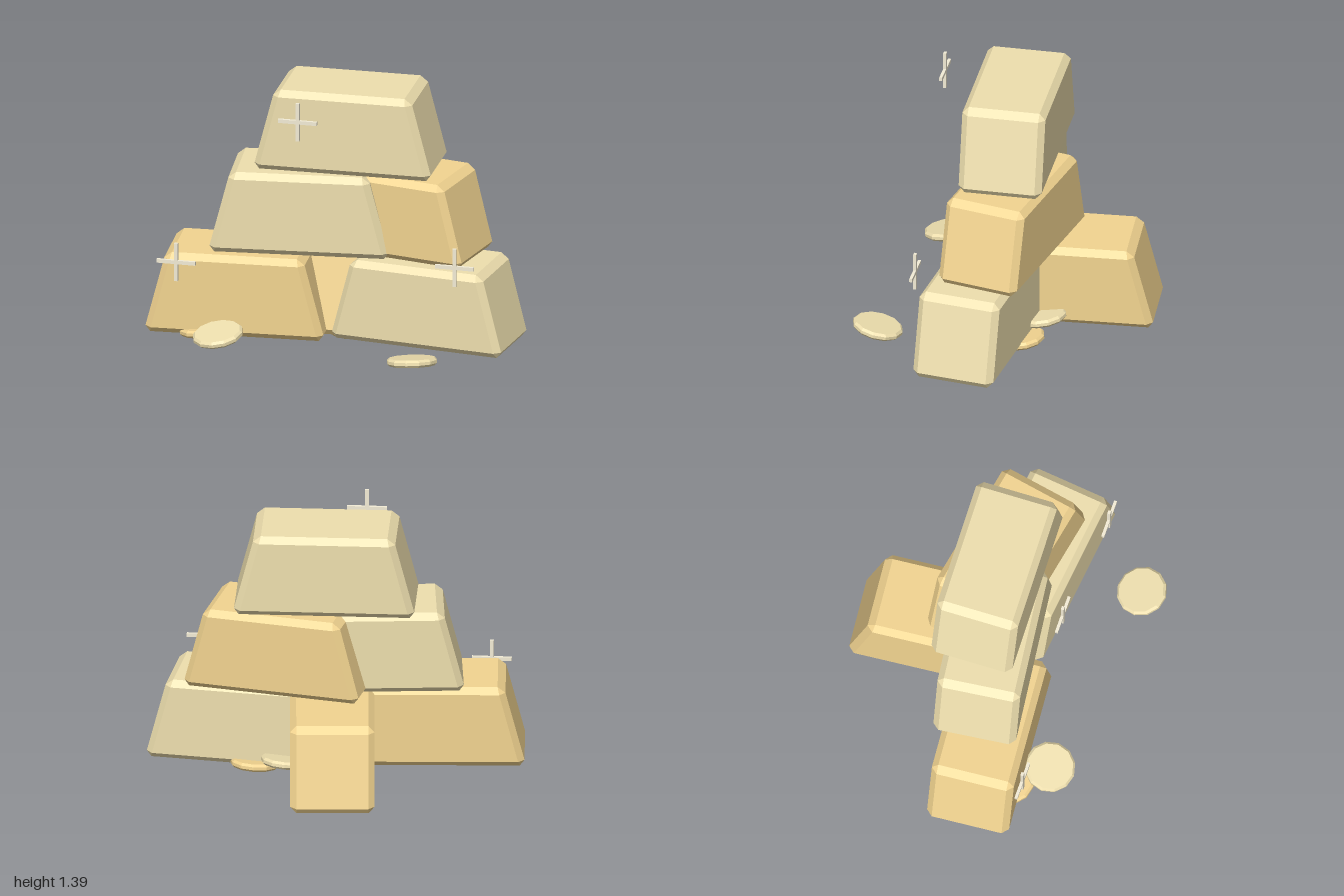
import * as THREE from 'three';
import { ConvexGeometry } from 'three/addons/geometries/ConvexGeometry.js';

const PALE = 0xeedfae, GOLD = 0xf2d490, SPARK = 0xf3ecd6;

function material(color) {
  return new THREE.MeshStandardMaterial({ color, flatShading: true });
}

// Chamfered block whose two ends lean inwards towards the top; base at y = 0
function barGeometry(halfBottom, halfTop, height, depth, c) {
  const points = [];
  for (const sx of [-1, 1]) for (const sy of [0, 1]) for (const sz of [-1, 1]) {
    for (const [ix, iy, iz] of [[0, c, c], [c, 0, c], [c, c, 0]]) {
      const y = sy ? height - iy : iy;
      const half = THREE.MathUtils.lerp(halfBottom, halfTop, y / height);
      points.push(new THREE.Vector3(sx * (half - ix), y, sz * (depth / 2 - iz)));
    }
  }
  return new ConvexGeometry(points);
}

// Twelve-sided coin with bevelled rims, centred on the origin
function coinGeometry(radius, thickness, bevel) {
  const h = thickness / 2;
  const profile = [[0, -h], [radius - bevel, -h], [radius, -h + bevel],
    [radius, h - bevel], [radius - bevel, h], [0, h]];
  return new THREE.LatheGeometry(profile.map(([x, y]) => new THREE.Vector2(x, y)), 12);
}

export function createModel() {
  const model = new THREE.Group();
  model.name = 'ingotPile';
  const pale = material(PALE), gold = material(GOLD), spark = material(SPARK);

  const add = (name, geometry, mat, position, rotation) => {
    const mesh = new THREE.Mesh(geometry, mat);
    mesh.name = name;
    mesh.position.set(...position);
    mesh.rotation.set(...rotation);
    model.add(mesh);
  };

  // Ingots: three on the ground, two across them, one on top
  const bar = barGeometry(0.484, 0.367, 0.45, 0.446, 0.033);
  const bars = [
    ['bottomRightIngot', gold, [-0.505, 0.03, 0.135], 0.075],
    ['bottomLeftIngot', pale, [0.505, 0.03, 0.078], -0.112],
    ['bottomBackIngot', gold, [0, 0.03, -0.28], Math.PI / 2 + 0.085],
    ['middleRightIngot', pale, [-0.185, 0.48, 0.045], 0.115],
    ['middleLeftIngot', gold, [0.29, 0.48, -0.04], -0.19],
    ['topIngot', pale, [0.055, 0.93, -0.012], 0.026],
  ];
  for (const [name, mat, position, turn] of bars) add(name, bar, mat, position, [0, turn, 0]);

  // Loose coins, each tilted a little
  const coin = coinGeometry(0.135, 0.04, 0.012);
  const coins = [
    [pale, [-0.54, 0.09, 0.485], [0.17, 0, 0.13]],
    [pale, [0.55, 0.085, 0.625], [-0.2, 0, 0.08]],
    [gold, [-0.66, 0.045, 0.3], [-0.08, 0, 0.1]],
    [gold, [0.07, 0.036, 0.05], [0.05, 0, -0.08]],
    [gold, [0.42, 0.04, -0.11], [0.12, 0, 0.04]],
    [pale, [0.25, 0.09, -0.19], [0.15, 0, 0.06]],
  ];
  for (const [mat, position, tilt] of coins) add('coin', coin, mat, position, tilt);

  // Upright glints: two crossed slivers floating in front
  const sliver = new THREE.BoxGeometry(0.21, 0.02, 0.016);
  for (const position of [[-0.125, 1.29, 0.415], [-0.785, 0.45, 0.415], [0.72, 0.54, 0.385]]) {
    for (const turn of [0, Math.PI / 2]) add('glint', sliver, spark, position, [0, 0, turn]);
  }

  return model;
}
